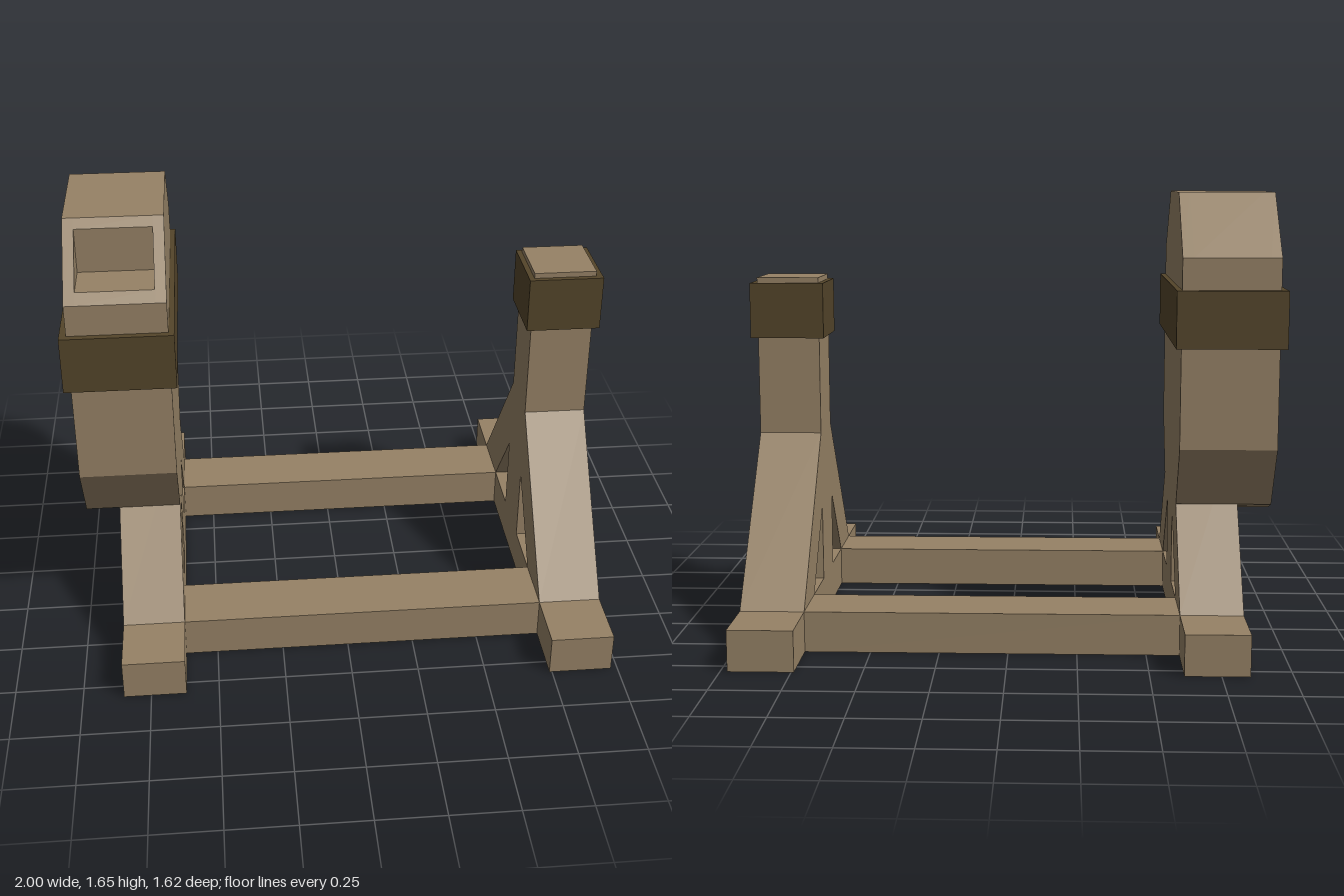
import * as THREE from 'three';

const wood = new THREE.MeshStandardMaterial({ color: 0x94805f, flatShading: true });
wood.color.set(0x968266);
const dark = new THREE.MeshStandardMaterial({ color: 0x54452a, flatShading: true });

// Box given by its limits on each axis
function box(name, [x0, x1], [y0, y1], [z0, z1], material) {
  const mesh = new THREE.Mesh(new THREE.BoxGeometry(x1 - x0, y1 - y0, z1 - z0), material);
  mesh.position.set((x0 + x1) / 2, (y0 + y1) / 2, (z0 + z1) / 2);
  mesh.name = name;
  return mesh;
}

// Side profile of [z, y] points, extruded from x0 to x1
function slab(name, points, x0, x1, holes = []) {
  const toVectors = (list) => list.map(([z, y]) => new THREE.Vector2(z, y));
  const shape = new THREE.Shape(toVectors(points));
  for (const hole of holes) shape.holes.push(new THREE.Path(toVectors(hole)));
  const geometry = new THREE.ExtrudeGeometry(shape, { depth: x1 - x0, bevelEnabled: false });
  geometry.rotateY(-Math.PI / 2).translate(x1, 0, 0);
  const mesh = new THREE.Mesh(geometry, wood);
  mesh.name = name;
  return mesh;
}

const mirror = (list) => list.map(([z, y]) => [-z, y]).reverse();

// Foot rail, braces and post cut as one frame with two triangular openings
function support(name, x0, x1, top) {
  const half = [[0.81, 0], [0.81, 0.15], [0.58, 0.15], [0.12, 0.73]];
  if (top > 0.73) half.push([0.12, top]);
  const hole = [[0.12, 0.15], [0.35, 0.15], [0.12, 0.44]];
  return slab(name, [...half, ...mirror(half)], x0, x1, [hole, mirror(hole)]);
}

function createHousing() {
  const housing = new THREE.Group();
  housing.name = 'housing';

  // Shallow curved underside
  const belly = [];
  for (let i = 0; i <= 12; i++) {
    const t = -1 + i / 6;
    belly.push([0.305 * t, 0.44 + 0.06 * t * t]);
  }
  const front = [[0.44, 0.73], [0.44, 1.425]];
  const back = [[-0.21, 1.655], [-0.44, 1.425], [-0.44, 0.73]];
  const notch = [[0.405, 1.46], [0.24, 1.46], [0.24, 1.625]];
  const plain = [...belly, ...front, [0.21, 1.655], ...back];
  const notched = [...belly, ...front, ...notch, [0.21, 1.655], ...back];

  // The middle slab carries the recess in the sloped front
  housing.add(
    slab('housingOuterSide', plain, -0.975, -0.935),
    slab('housingRecessedMiddle', notched, -0.935, -0.66),
    slab('housingInnerSide', plain, -0.66, -0.62),
  );
  return housing;
}

export function createModel() {
  const model = new THREE.Group();
  model.name = 'supportFrame';

  model.add(
    support('rightSupport', -0.85, -0.62, 0.73),
    support('leftSupport', 0.74, 0.975, 1.33),
    createHousing(),
    box('housingBand', [-1, -0.6], [1.1, 1.31], [-0.465, 0.465], dark),
    box('postBand', [0.72, 1], [1.1, 1.31], [-0.14, 0.14], dark),
  );

  // Cross beams joining the two supports
  model.add(
    box('frontCrossBeam', [-0.62, 0.74], [0, 0.15], [0.35, 0.58], wood),
    box('backCrossBeam', [-0.62, 0.74], [0, 0.15], [-0.58, -0.35], wood),
  );
  return model;
}
